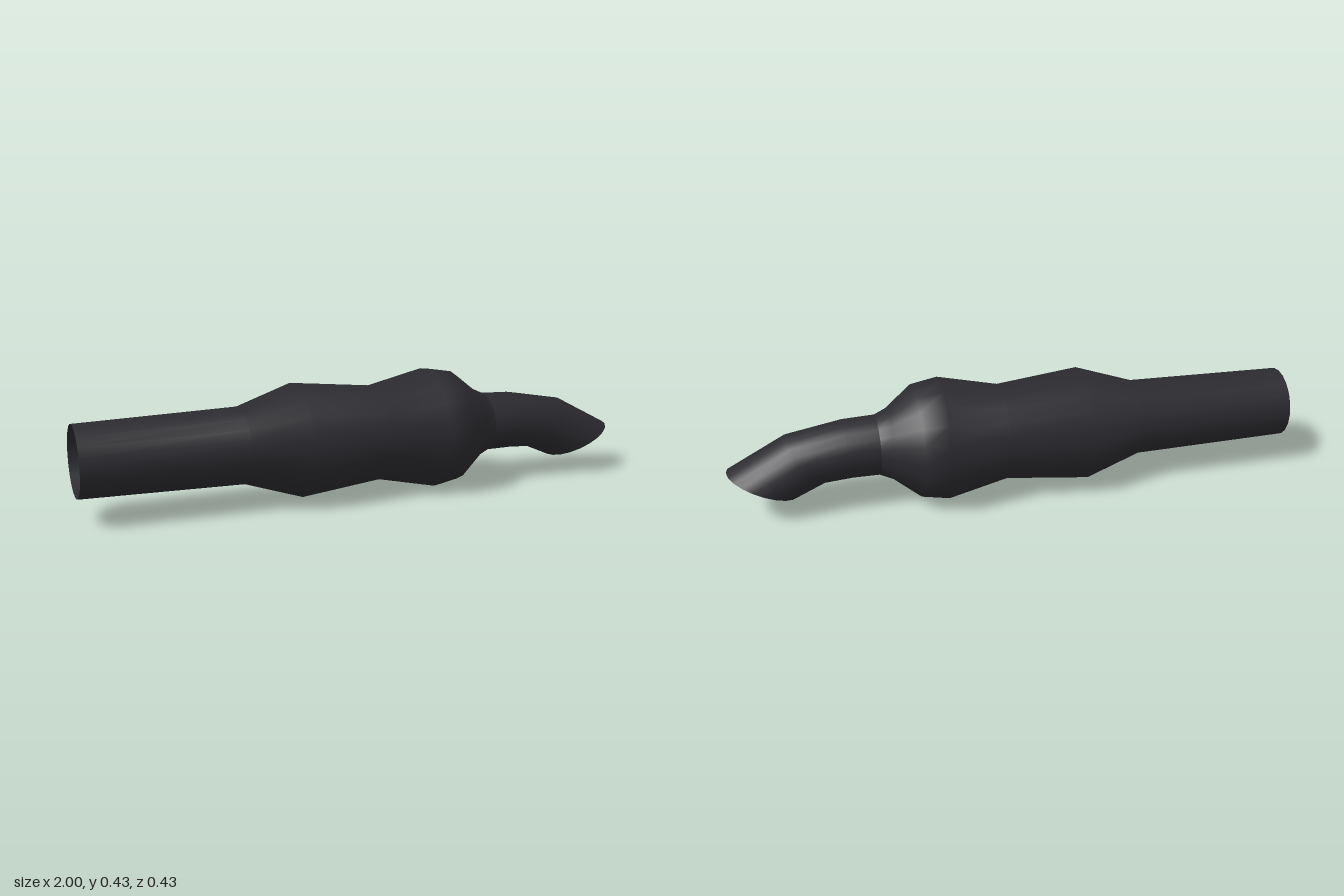
import * as THREE from 'three';

const SIDES = 20;
const AXIS_Y = 0.215;

// Turned hollow body lying along x
function createBody(material) {
  const profile = [
    [-1, 0.123], [-0.44, 0.133], [-0.24, 0.199], [0.05, 0.168],
    [0.26, 0.214], [0.35, 0.198], [0.44, 0.126], [0.485, 0.106],
  ].map(([x, r]) => new THREE.Vector2(r, x));
  const geometry = new THREE.LatheGeometry(profile, SIDES);
  geometry.rotateZ(-Math.PI / 2);
  geometry.translate(0, AXIS_Y, 0);
  const mesh = new THREE.Mesh(geometry, material);
  mesh.name = 'body';
  return mesh;
}

// Bent spout: skewed oval rings, each set by its top and bottom points
function createSpout(material) {
  const rings = [
    { top: [0.48, 0.321], bottom: [0.48, 0.111], half: 0.106 },
    { top: [0.6, 0.316], bottom: [0.58, 0.112], half: 0.106 },
    { top: [0.8, 0.279], bottom: [0.665, 0.108], half: 0.107 },
    { top: [1, 0.172], bottom: [0.765, 0.064], half: 0.108 }, // slanted mouth
  ];
  const positions = [];
  const index = [];
  rings.forEach(({ top, bottom, half }, i) => {
    for (let j = 0; j < SIDES; j++) {
      const a = (j / SIDES) * Math.PI * 2;
      const t = (1 + Math.cos(a)) / 2;
      positions.push(
        THREE.MathUtils.lerp(bottom[0], top[0], t),
        THREE.MathUtils.lerp(bottom[1], top[1], t),
        half * Math.sin(a),
      );
      if (i === 0) continue;
      const k = (j + 1) % SIDES;
      const p = (i - 1) * SIDES, q = i * SIDES;
      index.push(p + j, p + k, q + j, p + k, q + k, q + j);
    }
  });
  const geometry = new THREE.BufferGeometry();
  geometry.setAttribute('position', new THREE.Float32BufferAttribute(positions, 3));
  geometry.setIndex(index);
  geometry.computeVertexNormals();
  const mesh = new THREE.Mesh(geometry, material);
  mesh.name = 'spout';
  return mesh;
}

export function createModel() {
  const material = new THREE.MeshStandardMaterial({ color: 0x2b2b30, side: THREE.DoubleSide });
  const group = new THREE.Group();
  group.name = 'pipe';
  group.add(createBody(material), createSpout(material));
  return group;
}
